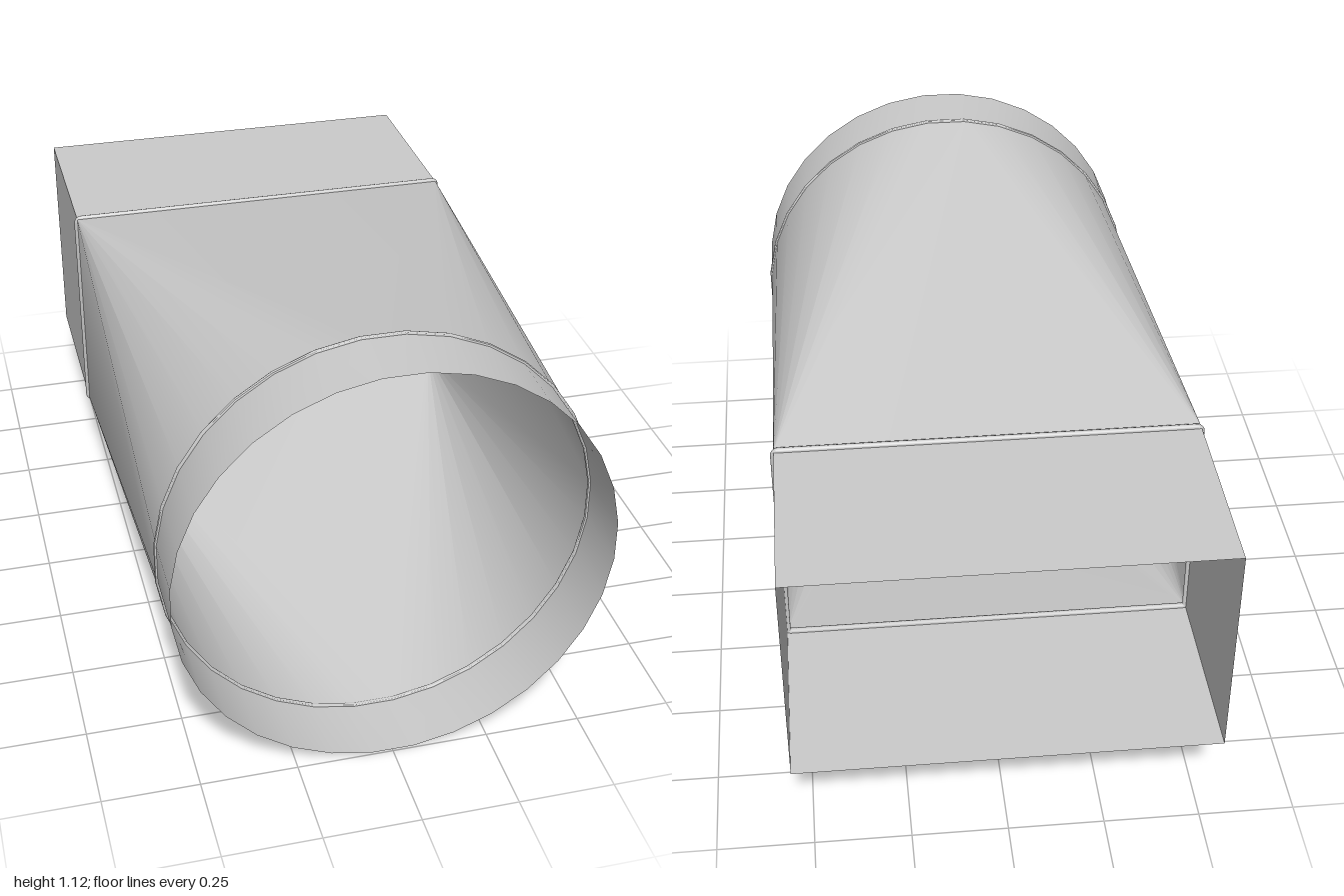
import * as THREE from 'three';
import { toCreasedNormals } from 'three/addons/utils/BufferGeometryUtils.js';

const CY = 0.564;            // height of the duct axis
const R = 0.558;             // round end radius
const HW = 0.547, HH = 0.305; // rectangular end half sizes
const Z_ROUND = 0.815, Z_RECT = -0.475;
const SIDES = 32;

const material = new THREE.MeshStandardMaterial({ color: 0xcccccc, side: THREE.DoubleSide });

// Closed 32-sided ring with flats at top, bottom and sides
function circleLoop(r, z) {
  return Array.from({ length: SIDES }, (_, i) => {
    const a = ((i + 0.5) / SIDES) * Math.PI * 2;
    return new THREE.Vector3(r * Math.cos(a), CY + r * Math.sin(a), z);
  });
}

// Rectangle with its corners repeated or rounded, same point count as the circle
function rectLoop(z, inset = 0, radius = 0) {
  const per = SIDES / 4;
  return Array.from({ length: SIDES }, (_, i) => {
    const q = Math.floor(i / per);
    const a = (q + (i % per) / (per - 1)) * Math.PI / 2;
    const sx = q === 0 || q === 3 ? 1 : -1;
    const sy = q < 2 ? 1 : -1;
    return new THREE.Vector3(
      sx * (HW - inset) + radius * Math.cos(a),
      CY + sy * (HH - inset) + radius * Math.sin(a), z);
  });
}

// Skin between successive closed loops, skipping collapsed triangles
function loft(loops, crease) {
  const pos = [];
  const area = new THREE.Triangle();
  const tri = (a, b, c) => {
    if (area.set(a, b, c).getArea() > 1e-9) for (const p of [a, b, c]) pos.push(p.x, p.y, p.z);
  };
  for (let k = 0; k < loops.length - 1; k++) {
    const A = loops[k], B = loops[k + 1];
    for (let i = 0; i < SIDES; i++) {
      const j = (i + 1) % SIDES;
      tri(A[i], A[j], B[j]);
      tri(A[i], B[j], B[i]);
    }
  }
  const geometry = new THREE.BufferGeometry();
  geometry.setAttribute('position', new THREE.Float32BufferAttribute(pos, 3));
  return toCreasedNormals(geometry, crease);
}

// Round-section bead: the loop function is swept through a small circle
function bead(loopAt, z, r) {
  const loops = [];
  for (let k = 0; k <= 8; k++) {
    const t = ((k % 8) / 8) * Math.PI * 2;
    loops.push(loopAt(r * Math.cos(t), z - r * Math.sin(t)));
  }
  return loft(loops, 0.9);
}

export function createModel() {
  const group = new THREE.Group();
  group.name = 'ductTransition';
  const add = (name, geometry) => {
    const mesh = new THREE.Mesh(geometry, material);
    mesh.name = name;
    group.add(mesh);
  };

  // Sheet metal walls
  add('roundCollar', loft([circleLoop(R, 1), circleLoop(R, Z_ROUND)].reverse(), 0.4));
  add('transition', loft([rectLoop(Z_RECT), circleLoop(R, Z_ROUND)], 0.4));
  add('rectangularCollar', loft([rectLoop(-1), rectLoop(Z_RECT)], 0.4));

  // Raised seams where the walls meet
  add('roundBead', bead((d, z) => circleLoop(R + d, z), Z_ROUND, 0.006));
  add('rectangularBead', bead((d, z) => rectLoop(z, 0.012, 0.012 + d), Z_RECT, 0.009));

  return group;
}
